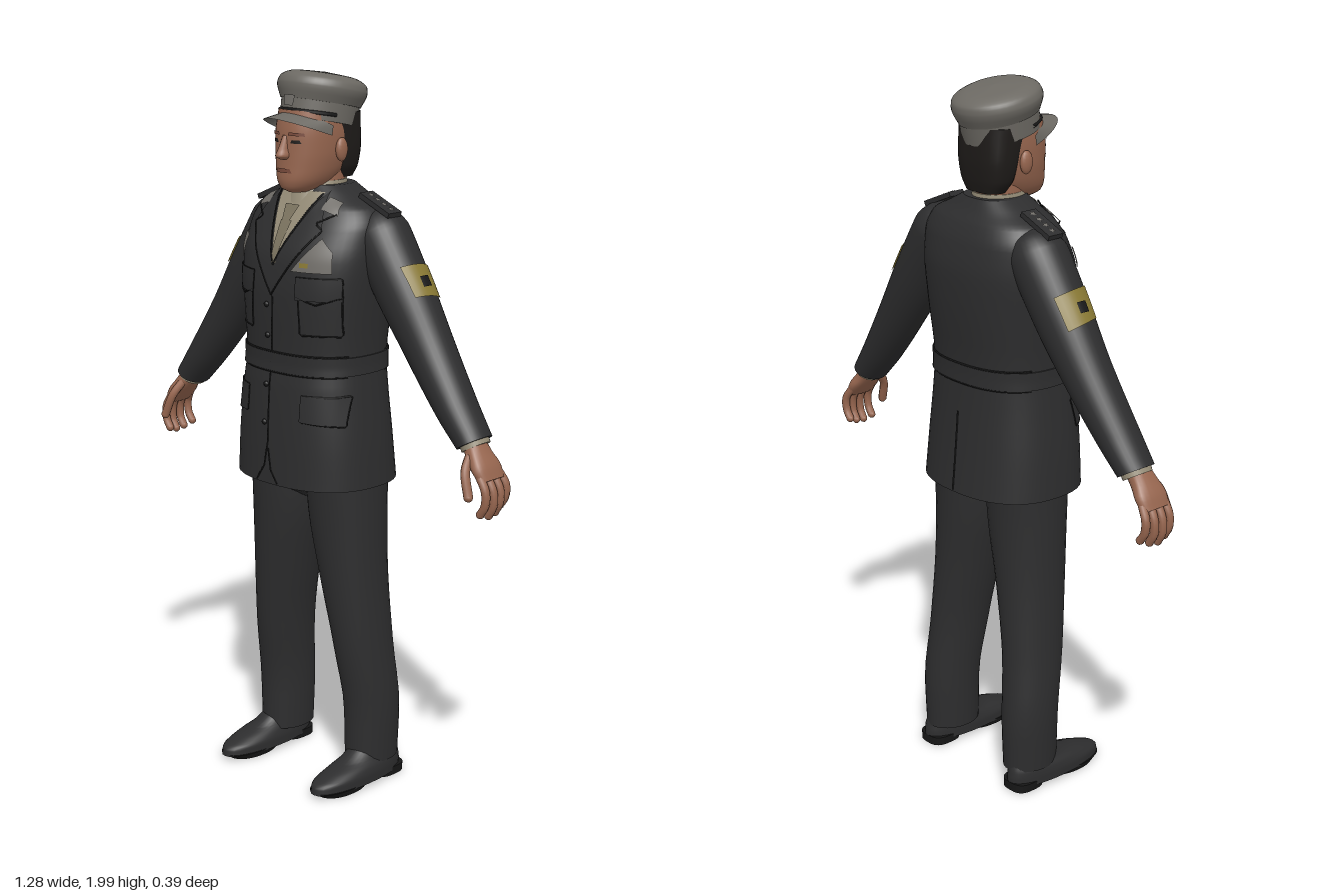
import * as THREE from 'three';

const mat = (name, color) => Object.assign(new THREE.MeshStandardMaterial({ color, side: THREE.DoubleSide }), { name });
const M = {
  cloth: mat('uniform cloth', 0x2d2d2e), seam: mat('seam black', 0x171717), cap: mat('cap grey', 0x6c6963),
  shirt: mat('shirt tan', 0x958c77), tie: mat('tie tan', 0x7b735f), skin: mat('skin', 0x97664f),
  lips: mat('lips', 0x784a3b), hair: mat('hair', 0x1e1b19), gold: mat('gold', 0x887833), badge: mat('badge grey', 0x706d68),
};

// Smooth monotone lookup in a profile of rows [y, halfWidth, zFront, zBack, centreX]
function at(rows, y) {
  const n = rows.length;
  let k = 0;
  while (k < n - 2 && y > rows[k + 1][0]) k++;
  const slope = (i, c) => (rows[i + 1][c] - rows[i][c]) / (rows[i + 1][0] - rows[i][0]);
  const tangent = (i, c) => {
    if (i === 0) return slope(0, c);
    if (i === n - 1) return slope(n - 2, c);
    const a = slope(i - 1, c), b = slope(i, c);
    return a * b <= 0 ? 0 : 2 * a * b / (a + b);
  };
  const h = rows[k + 1][0] - rows[k][0], t = Math.min(1, Math.max(0, (y - rows[k][0]) / h));
  const v = [1, 2, 3, 4].map(c => {
    if (rows[k][c] === undefined) return 0;
    const p = rows[k][c], q = rows[k + 1][c], t2 = t * t, t3 = t2 * t;
    return p * (2 * t3 - 3 * t2 + 1) + q * (3 * t2 - 2 * t3) + h * (tangent(k, c) * (t3 - 2 * t2 + t) + tangent(k + 1, c) * (t3 - t2));
  });
  return { rx: v[0], cz: (v[1] + v[2]) / 2, rz: (v[1] - v[2]) / 2, cx: v[3] };
}

// Closed body of superellipse sections stacked along y
function loft(rows, p = 2, n = 32, steps = 4) {
  const ys = [rows[0][0]], pos = [], idx = [];
  for (let k = 1; k < rows.length; k++)
    for (let s = 1; s <= steps; s++) ys.push(rows[k - 1][0] + (rows[k][0] - rows[k - 1][0]) * s / steps);
  const pw = v => Math.sign(v) * Math.abs(v) ** (2 / p);
  const ring = y => {
    const r = at(rows, y);
    for (let i = 0; i < n; i++) {
      const a = i / n * Math.PI * 2;
      pos.push(r.cx + r.rx * pw(Math.cos(a)), y, r.cz + r.rz * pw(Math.sin(a)));
    }
    return r;
  };
  ys.forEach(ring);
  for (let j = 0; j < ys.length - 1; j++) for (let i = 0; i < n; i++) {
    const a = j * n + i, b = j * n + (i + 1) % n;
    idx.push(a, a + n, b, b, a + n, b + n);
  }
  for (const top of [false, true]) {
    const y = top ? ys[ys.length - 1] : ys[0], base = pos.length / 3, r = ring(y);
    pos.push(r.cx, y, r.cz);
    for (let i = 0; i < n; i++) {
      const a = base + i, b = base + (i + 1) % n;
      idx.push(base + n, ...(top ? [b, a] : [a, b]));
    }
  }
  return geometry(pos, idx);
}

function geometry(pos, idx) {
  const g = new THREE.BufferGeometry();
  g.setAttribute('position', new THREE.Float32BufferAttribute(pos, 3));
  g.setIndex(idx);
  g.computeVertexNormals();
  return g;
}

// Thin four-cornered plate laid on a surface fn(a, b) -> [x, y, z]
function patch(c, fn, n = 8) {
  const pos = [], idx = [];
  for (let j = 0; j <= n; j++) for (let i = 0; i <= n; i++) {
    const u = i / n, v = j / n;
    const mix = k => (c[0][k] * (1 - u) + c[1][k] * u) * (1 - v) + (c[3][k] * (1 - u) + c[2][k] * u) * v;
    pos.push(...fn(mix(0), mix(1)));
    if (i < n && j < n) {
      const a = j * (n + 1) + i;
      idx.push(a, a + 1, a + n + 1, a + 1, a + n + 2, a + n + 1);
    }
  }
  return geometry(pos, idx);
}

// Thin raised line following a surface
function line(pts, fn, r = 0.0025) {
  const out = [];
  pts.forEach((q, i) => {
    if (i) for (let s = 1; s <= 6; s++) out.push(pts[i - 1].map((v, k) => v + (q[k] - v) * s / 6));
    else out.push(q);
  });
  return tube(out.map(q => fn(...q)), r, 4, out.length * 2);
}
const tube = (pts, r, sides = 8, seg = 12) =>
  new THREE.TubeGeometry(new THREE.CatmullRomCurve3(pts.map(q => new THREE.Vector3(...q))), seg, r, sides);

// Front (+1) or back (-1) face of a profile
const face = (rows, p, lift, sign = 1) => (x, y) => {
  const r = at(rows, y), u = Math.min(1, Math.abs(x - r.cx) / r.rx);
  return [x, y, r.cz + sign * (r.rz * (1 - u ** p) ** (1 / p) + lift)];
};

const JACKET = [[0.88, 0.228, 0.18, -0.19], [1.0, 0.221, 0.176, -0.178], [1.15, 0.206, 0.166, -0.166], [1.22, 0.2, 0.157, -0.163],
  [1.4, 0.213, 0.163, -0.18], [1.5, 0.22, 0.152, -0.185], [1.58, 0.218, 0.115, -0.173], [1.63, 0.195, 0.083, -0.152],
  [1.66, 0.14, 0.064, -0.128], [1.69, 0.085, 0.045, -0.108]];
const HEAD = [[1.672, 0.025, 0.095, 0.0], [1.685, 0.048, 0.117, -0.03], [1.71, 0.066, 0.123, -0.06], [1.74, 0.077, 0.121, -0.085],
  [1.78, 0.085, 0.119, -0.1], [1.83, 0.088, 0.117, -0.105], [1.89, 0.084, 0.105, -0.1]];
const ARM = [[-0.605, 0.044, 0.02, -0.092, 0.044], [-0.5, 0.054, 0.023, -0.102, 0.028], [-0.32, 0.067, 0.022, -0.118, 0.01],
  [-0.15, 0.078, 0.028, -0.13, 0], [0, 0.08, 0.03, -0.135, -0.006], [0.05, 0.062, 0.01, -0.12, -0.008], [0.088, 0.012, -0.04, -0.07, -0.01]];

export function createModel() {
  const model = new THREE.Group();
  model.name = 'officer';
  const add = (name, geo, m, parent = model) => {
    const mesh = new THREE.Mesh(geo, m);
    mesh.name = name;
    parent.add(mesh);
    return mesh;
  };
  const front = lift => face(JACKET, 2.4, lift), back = lift => face(JACKET, 2.4, lift, -1);
  const flip = (pts, s) => pts.map(([x, y]) => [x * s, y]);

  // Jacket with belt, front opening and back vent
  add('jacket', loft(JACKET, 2.4, 48), M.cloth);
  add('belt', loft([1.195, 1.22, 1.245].map(y => {
    const r = at(JACKET, y);
    return [y, r.rx + 0.005, r.cz + r.rz + 0.005, r.cz - r.rz - 0.005];
  }), 2.4, 48), M.cloth);
  for (const y of [1.193, 1.247]) for (const side of [front, back])
    add('beltEdge', line([-0.19, -0.1, 0, 0.1, 0.19].map(x => [x, y]), side(0.003), 0.003), M.seam);
  add('frontOpening', line([[0, 1.4], [-0.012, 1.2], [-0.008, 1.0], [-0.02, 0.93], [-0.05, 0.885]], front(0.002)), M.seam);
  add('frontOpeningCorner', line([[-0.006, 0.98], [0.005, 0.92], [0.03, 0.885]], front(0.002)), M.seam);
  add('backVent', line([[0, 1.11], [0, 0.885]], back(0.001), 0.003), M.seam);
  for (const y of [1.375, 1.29, 1.155, 1.05])
    add('button', new THREE.SphereGeometry(0.008, 10, 6), M.seam).position.set(...front(0)(-0.025, y));

  // Shirt front and tie
  add('shirtFront', patch([[0, 1.485], [0, 1.485], [0.078, 1.675], [-0.078, 1.675]], front(0.004)), M.shirt);
  add('tie', patch([[-0.008, 1.49], [0.008, 1.49], [0.02, 1.6], [-0.02, 1.6]], front(0.008)), M.tie);
  add('tieKnot', patch([[-0.014, 1.6], [0.014, 1.6], [0.026, 1.64], [-0.026, 1.64]], front(0.011)), M.tie);
  add('shirtCollar', loft([[1.63, 0.085, 0.085, -0.1], [1.665, 0.072, 0.071, -0.098], [1.7, 0.066, 0.05, -0.094]]), M.shirt);

  // Lapels, pockets, epaulettes on both sides
  for (const s of [1, -1]) {
    add('lapel', patch(flip([[0, 1.41], [0.125, 1.585], [0.088, 1.68], [0, 1.485]], s), front(0.008)), M.cloth);
    add('lapelEdge', line(flip([[0, 1.405], [0.125, 1.585], [0.1, 1.6], [0.145, 1.625]], s), front(0.008)), M.seam);
    add('lapelFold', line(flip([[0, 1.485], [0.078, 1.672]], s), front(0.009)), M.seam);
    add('collarPin', patch(flip([[0.098, 1.635], [0.15, 1.62], [0.138, 1.652], [0.1, 1.665]], s), front(0.009)), M.badge);
    add('chestPocket', line(flip([[0.085, 1.45], [0.09, 1.305], [0.185, 1.305], [0.19, 1.45]], s), front(0.001)), M.seam);
    add('chestFlap', patch(flip([[0.08, 1.4], [0.19, 1.4], [0.19, 1.46], [0.08, 1.46]], s), front(0.005)), M.cloth);
    add('chestFlapEdge', line(flip([[0.08, 1.46], [0.08, 1.41], [0.135, 1.39], [0.19, 1.41], [0.19, 1.46], [0.08, 1.46]], s), front(0.003)), M.seam);
    add('hipFlap', patch(flip([[0.1, 1.07], [0.2, 1.06], [0.2, 1.14], [0.1, 1.14]], s), front(0.005)), M.cloth);
    add('hipFlapEdge', line(flip([[0.1, 1.14], [0.1, 1.07], [0.2, 1.06], [0.2, 1.14], [0.1, 1.14]], s), front(0.003)), M.seam);

    const board = new THREE.Group();
    board.name = 'epaulette';
    board.position.set(s * 0.195, 1.645, -0.045);
    board.rotation.z = -s * 0.4;
    model.add(board);
    add('epauletteStrap', new THREE.BoxGeometry(0.115, 0.014, 0.05), M.cloth, board);
    const star = new THREE.Shape(Array.from({ length: 10 }, (_, i) => {
      const r = i % 2 ? 0.005 : 0.013, a = i * Math.PI / 5;
      return new THREE.Vector2(r * Math.sin(a), r * Math.cos(a));
    }));
    for (let i = 0; i < 4; i++) {
      const m = add('rankStar', new THREE.ShapeGeometry(star), M.badge, board);
      m.position.set(-0.039 + i * 0.026, 0.009, 0);
      m.rotation.x = -Math.PI / 2;
    }
  }
  add('ribbonRack', patch([[0.062, 1.475], [0.172, 1.475], [0.168, 1.53], [0.132, 1.565]], front(0.006)), M.badge);
  add('ribbonStripe', patch([[0.09, 1.488], [0.115, 1.488], [0.115, 1.5], [0.09, 1.5]], front(0.009)), M.gold);
  add('chestBadge', patch([[-0.15, 1.485], [-0.14, 1.545], [-0.165, 1.555], [-0.185, 1.525]], front(0.006)), M.badge);

  // Arms and hands, built along the sleeve and mirrored
  for (const s of [1, -1]) {
    const side = new THREE.Group(), arm = new THREE.Group();
    side.name = s > 0 ? 'leftArm' : 'rightArm';
    side.scale.x = s;
    arm.position.set(0.2, 1.56, 0);
    arm.rotation.z = 0.535;
    side.add(arm);
    model.add(side);
    add('sleeve', loft(ARM), M.cloth, arm);
    const outer = lift => (z, y) => {
      const r = at(ARM, y), u = Math.min(1, Math.abs(z - r.cz) / r.rz);
      return [r.cx + r.rx * Math.sqrt(1 - u * u) + lift, y, z];
    };
    add('sleevePatch', patch([[-0.105, -0.215], [-0.005, -0.2], [0.0, -0.11], [-0.11, -0.12]], outer(0.005)), M.gold, arm);
    add('sleevePatchCentre', patch([[-0.065, -0.18], [-0.035, -0.18], [-0.035, -0.15], [-0.065, -0.15]], outer(0.008)), M.seam, arm);
    add('shirtCuff', loft([[-0.618, 0.036, 0.008, -0.08, 0.044], [-0.59, 0.038, 0.01, -0.082, 0.044]]), M.shirt, arm);
    add('palm', loft([[-0.715, 0.014, 0.015, -0.075, 0.058], [-0.68, 0.021, 0.022, -0.08, 0.056], [-0.64, 0.024, 0.012, -0.07, 0.05],
      [-0.59, 0.027, -0.003, -0.065, 0.044]], 2.4, 20), M.skin, arm);
    for (let i = 0; i < 4; i++) {
      const z = 0.008 - i * 0.025, w = z * 1.12, l = [0.95, 1.05, 1, 0.85][i];
      const pts = [[0.056, -0.69, z], [0.056, -0.7 - 0.04 * l, w], [0.036, -0.7 - 0.075 * l, w], [0.01, -0.7 - 0.09 * l, w]];
      add('finger', tube(pts, 0.0115), M.skin, arm);
      add('fingertip', new THREE.SphereGeometry(0.0115, 8, 6), M.skin, arm).position.set(...pts[3]);
    }
    add('thumb', tube([[0.045, -0.63, -0.005], [0.035, -0.67, 0.028], [0.022, -0.735, 0.04]], 0.0125), M.skin, arm);
    add('thumbTip', new THREE.SphereGeometry(0.0125, 8, 6), M.skin, arm).position.set(0.022, -0.735, 0.04);
  }

  // Trousers and shoes
  add('trouserSeat', loft([[0.815, 0.05, 0.04, -0.07], [0.85, 0.15, 0.09, -0.125], [0.95, 0.19, 0.11, -0.14]]), M.cloth);
  for (const s of [1, -1]) {
    const leg = [[0.06, 0.066, 0.03, -0.138, 0.17], [0.2, 0.071, 0.032, -0.142, 0.17], [0.4, 0.075, 0.06, -0.127, 0.156],
      [0.6, 0.089, 0.083, -0.122, 0.132], [0.8, 0.107, 0.1, -0.128, 0.111], [0.95, 0.11, 0.11, -0.14, 0.107]];
    const shoe = [[0.014, 0.058, 0.192, -0.143, 0.183], [0.035, 0.058, 0.188, -0.143, 0.183], [0.055, 0.054, 0.14, -0.14, 0.183],
      [0.075, 0.046, 0.07, -0.135, 0.18], [0.11, 0.04, 0.01, -0.12, 0.175]];
    const set = rows => rows.map(([y, rx, f, b, x]) => [y, rx, f, b, x * s]);
    add('trouserLeg', loft(set(leg)), M.cloth);
    add('shoe', loft(set(shoe), 2.2), M.cloth);
    add('shoeHeel', loft(set([[0, 0.046, -0.04, -0.143, 0.183], [0.025, 0.048, -0.035, -0.143, 0.183]]), 3), M.seam);
    add('shoeSole', loft(set([[0, 0.05, 0.165, 0.0, 0.183], [0.018, 0.056, 0.19, -0.02, 0.183]]), 2.2), M.seam);
  }

  // Head and face
  add('neck', loft([[1.62, 0.066, 0.06, -0.09], [1.76, 0.062, 0.05, -0.09]]), M.skin);
  add('head', loft(HEAD, 2.2, 36), M.skin);
  add('hair', loft([[1.705, 0.06, -0.03, -0.1], [1.74, 0.08, -0.012, -0.108], [1.8, 0.089, 0.005, -0.114], [1.88, 0.091, 0.04, -0.114]], 2.8), M.hair);
  add('nose', loft([[1.762, 0.012, 0.13, 0.09], [1.772, 0.018, 0.147, 0.09], [1.79, 0.013, 0.138, 0.09], [1.825, 0.009, 0.121, 0.09]], 2, 14), M.skin);
  const skinAt = lift => face(HEAD, 2.2, lift);
  add('mouth', patch([[-0.028, 1.727], [0.028, 1.727], [0.022, 1.738], [-0.022, 1.738]], skinAt(0.003)), M.lips);
  for (const s of [1, -1]) {
    add('eye', patch(flip([[0.022, 1.805], [0.05, 1.805], [0.046, 1.814], [0.026, 1.814]], s), skinAt(0.002)), M.hair);
    add('eyebrow', patch(flip([[0.016, 1.826], [0.058, 1.824], [0.056, 1.833], [0.018, 1.834]], s), skinAt(0.004)), M.lips);
    const ear = add('ear', new THREE.SphereGeometry(1, 12, 10), M.skin);
    ear.scale.set(0.012, 0.032, 0.02);
    ear.position.set(s * 0.092, 1.785, -0.005);
  }

  // Peaked cap, tipped up at the front
  const cap = new THREE.Group();
  cap.name = 'cap';
  cap.position.set(0, 1.857, -0.01);
  cap.rotation.x = -0.2;
  model.add(cap);
  const BAND = [[-0.005, 0.096, 0.111, -0.11], [0.045, 0.099, 0.113, -0.112]];
  add('capBand', loft(BAND, 2, 40), M.cap, cap);
  add('capCrown', loft([[0.044, 0.102, 0.116, -0.114], [0.082, 0.118, 0.127, -0.124], [0.1, 0.114, 0.122, -0.121],
    [0.118, 0.085, 0.094, -0.092], [0.126, 0.002, 0.002, -0.002]], 2, 40), M.cap, cap);
  add('capVisor', patch([[-1, 0], [1, 0], [1, 1], [-1, 1]], (u, v) => {
    const a = u * 1.25, reach = 0.074 * v * Math.cos(u * Math.PI / 2) ** 0.7;
    return [0.097 * Math.sin(a), 0.006 - 0.026 * v - 0.02 * u * u, 0.108 * Math.cos(a) + reach];
  }, 16), M.cap, cap);
  add('capStrap', line([[-0.094, 0.014], [-0.05, 0.012], [0, 0.012], [0.05, 0.012], [0.094, 0.014]], face(BAND, 2, 0.002), 0.005), M.seam, cap);
  add('capBadge', patch([[-0.016, 0.022], [0.016, 0.022], [0.02, 0.05], [-0.02, 0.05]], face(BAND, 2, 0.009)), M.badge, cap);
  return model;
}
